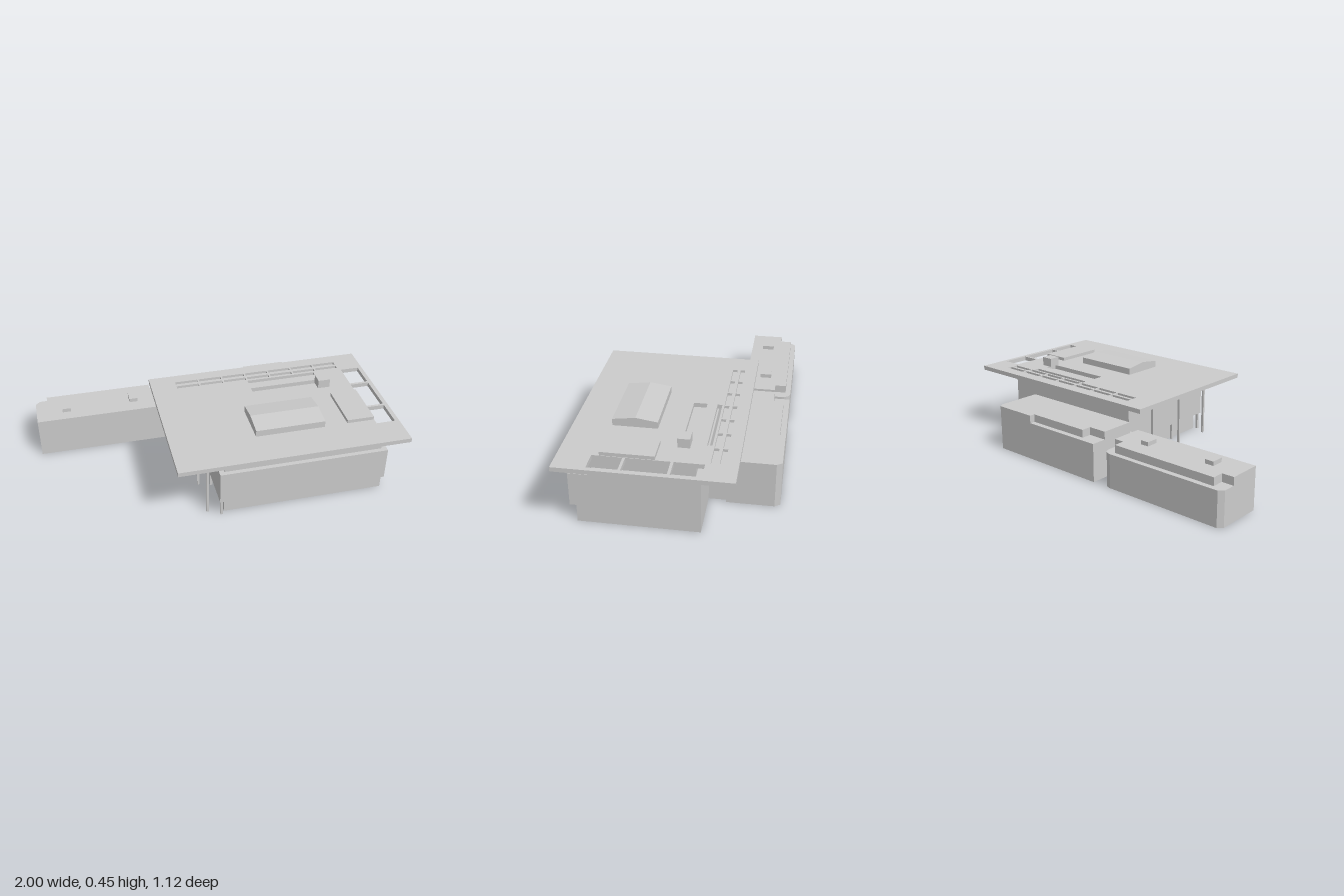
import * as THREE from 'three';

const mat = new THREE.MeshStandardMaterial({ color: 0xcccccc, flatShading: true });

function add(group, name, geo) {
  const m = new THREE.Mesh(geo, mat);
  m.name = name;
  group.add(m);
  return m;
}

// Box from its extents on each axis
function box(group, name, x0, x1, y0, y1, z0, z1) {
  const g = new THREE.BoxGeometry(x1 - x0, y1 - y0, z1 - z0);
  g.translate((x0 + x1) / 2, (y0 + y1) / 2, (z0 + z1) / 2);
  return add(group, name, g);
}

// Plan outline of [x, z] points raised from y0 to y1, with rectangular holes [x0, x1, z0, z1]
function plan(group, name, pts, y0, y1, holes = []) {
  const s = new THREE.Shape(pts.map(([x, z]) => new THREE.Vector2(x, -z)));
  for (const [a, b, c, d] of holes) {
    s.holes.push(new THREE.Path([[a, c], [a, d], [b, d], [b, c]].map(([x, z]) => new THREE.Vector2(x, -z))));
  }
  const g = new THREE.ExtrudeGeometry(s, { depth: y1 - y0, bevelEnabled: false });
  g.rotateX(-Math.PI / 2);
  g.translate(0, y0, 0);
  return add(group, name, g);
}

function part(parent, name) {
  const g = new THREE.Group();
  g.name = name;
  parent.add(g);
  return g;
}

export function createModel() {
  const model = part(new THREE.Group(), 'buildingComplex');
  model.removeFromParent();

  // Main hall: ground storey, overhanging front storey, side wall and recessed top storey
  const hall = part(model, 'mainHall');
  box(hall, 'groundStorey', -0.04, 0.895, 0, 0.1, -0.175, 0.47);
  box(hall, 'middleStorey', -0.07, 0.895, 0.1, 0.293, -0.175, 0.505);
  box(hall, 'sideWall', -0.04, 0.895, 0.293, 0.32, -0.175, 0.385);
  box(hall, 'topStorey', -0.04, 0.865, 0.293, 0.37, -0.145, 0.48);

  // Flat roof: through openings in both layers, slots only in the upper layer
  const roof = part(model, 'roof');
  const outline = [[-0.31, -0.355], [-0.31, 0.555], [1, 0.555], [1, -0.355]];
  const openings = [
    [0.27, 0.69, -0.203, -0.176], [0.27, 0.675, -0.12, -0.045],
    [0.865, 0.975, -0.19, -0.035], [0.865, 0.975, -0.02, 0.208], [0.865, 0.975, 0.222, 0.38],
  ];
  const slots = [];
  for (let i = 0; i < 7; i++) {
    const x = -0.16 + i * 0.1455;
    slots.push([x, x + 0.135, -0.286, -0.26], [x, x + 0.135, -0.242, -0.215]);
  }
  plan(roof, 'roofUnderside', outline, 0.37, 0.38, openings);
  plan(roof, 'roofTop', outline, 0.38, 0.395, [...openings, ...slots]);

  // Ridged skylight, flat hatch and chimney
  const gable = new THREE.Shape([[-0.345, 0.395], [-0.1, 0.395], [-0.1, 0.433], [-0.22, 0.45], [-0.345, 0.433]]
    .map(([x, y]) => new THREE.Vector2(x, y)));
  const sky = new THREE.ExtrudeGeometry(gable, { depth: 0.4, bevelEnabled: false });
  sky.rotateY(Math.PI / 2);
  sky.translate(0.17, 0, 0);
  add(roof, 'skylight', sky);
  box(roof, 'roofHatch', 0.705, 0.862, 0.395, 0.415, 0.06, 0.342);
  box(roof, 'chimney', 0.66, 0.732, 0.395, 0.447, -0.095, -0.03);

  // Tall posts under the roof edge and short posts under the overhang
  const posts = part(model, 'posts');
  for (const z of [0.45, 0.21, -0.035, -0.245]) {
    box(posts, 'roofPost', -0.137, -0.123, 0, 0.37, z - 0.006, z + 0.006);
  }
  for (const z of [0.488, 0.23, -0.02]) {
    box(posts, 'overhangPost', -0.065, -0.052, 0, 0.1, z - 0.007, z + 0.007);
  }

  // Low link between the hall and the rear wing
  box(model, 'lowLink', -0.1, 0.6, 0, 0.165, -0.27, -0.175);

  // Rear wing with a lowered ledge along its back edge
  const wing = part(model, 'rearWing');
  plan(wing, 'wingBase', [[-0.16, -0.27], [0.62, -0.27], [0.62, -0.53], [0.6, -0.56], [-0.16, -0.56]], 0, 0.22);
  plan(wing, 'wingTop', [[-0.16, -0.27], [0.62, -0.27], [0.62, -0.53], [0.6, -0.56], [0.34, -0.56],
    [0.34, -0.528], [-0.05, -0.528], [-0.05, -0.47], [-0.16, -0.47]], 0.22, 0.265);

  // Detached annex with one chamfered and one rounded rear corner
  const annex = part(model, 'annex');
  const corner = [];
  for (let i = 0; i <= 6; i++) {
    const a = (i / 6) * Math.PI / 2;
    corner.push([-0.28 + 0.05 * Math.cos(a), -0.51 - 0.05 * Math.sin(a)]);
  }
  plan(annex, 'annexBase', [[-1, -0.28], [-0.23, -0.28], ...corner, [-0.975, -0.56], [-1, -0.535]], 0, 0.195);
  plan(annex, 'annexTop', [[-1, -0.28], [-0.23, -0.28], [-0.23, -0.465], [-0.29, -0.465], [-0.29, -0.53],
    [-0.93, -0.53], [-0.93, -0.465], [-1, -0.465]], 0.195, 0.24);
  box(annex, 'roofVent', -0.845, -0.795, 0.24, 0.263, -0.42, -0.35);
  box(annex, 'roofVent', -0.435, -0.385, 0.24, 0.263, -0.432, -0.365);

  return model;
}
